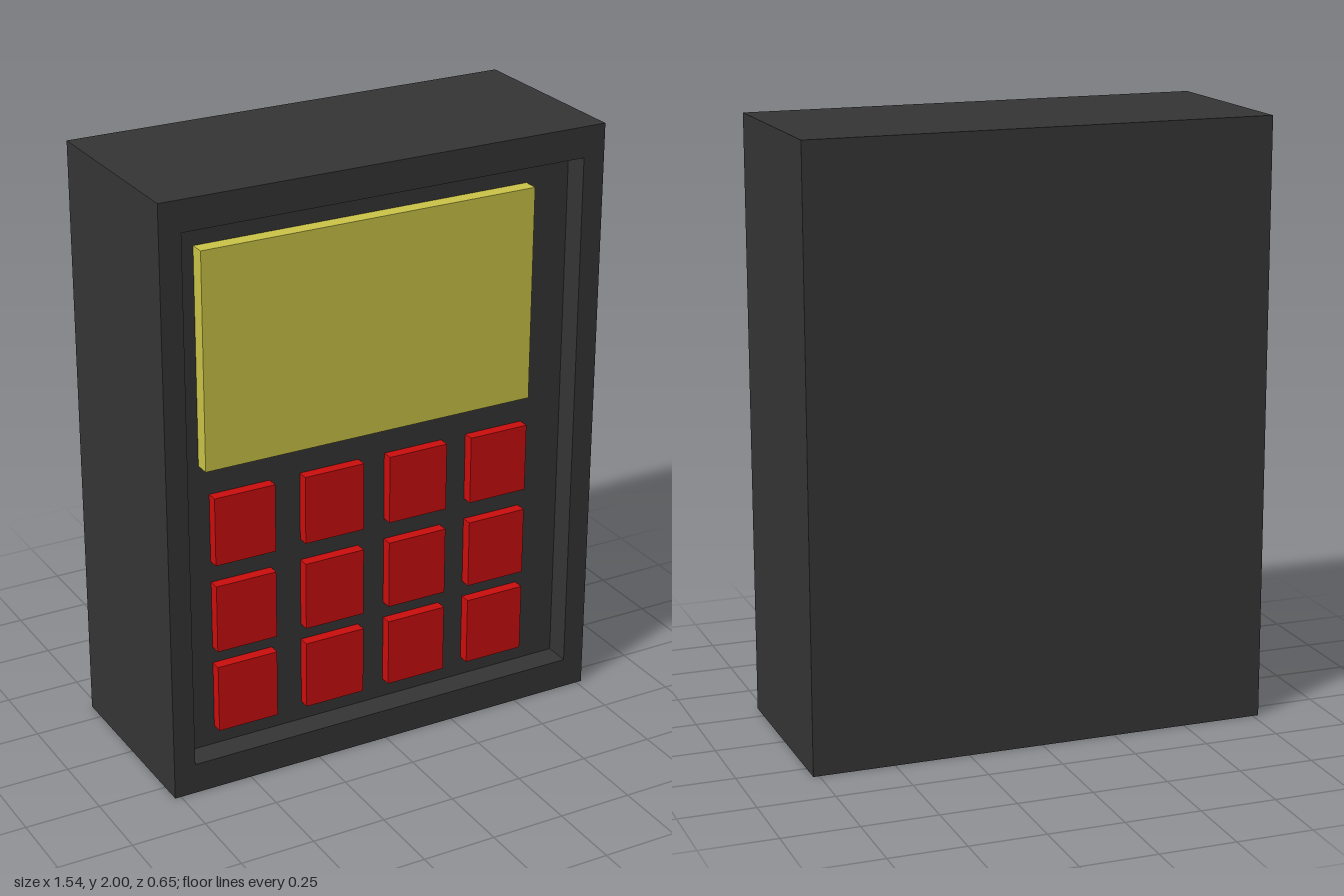
import * as THREE from 'three';

const material = (name, color) => new THREE.MeshStandardMaterial({ name, color });

// Closed shell through rectangular loops [left, right, bottom, top, z], capped at both ends
function loopShell(loops) {
  const rings = loops.map(([l, r, b, t, z]) => [[l, b, z], [r, b, z], [r, t, z], [l, t, z]]);
  const positions = [];
  const quad = (a, b, c, d) => positions.push(...a, ...b, ...c, ...a, ...c, ...d);
  for (let i = 0; i < rings.length - 1; i++) {
    const p = rings[i], q = rings[i + 1];
    for (let j = 0; j < 4; j++) {
      const k = (j + 1) % 4;
      quad(p[j], p[k], q[k], q[j]);
    }
  }
  const first = rings[0], last = rings[rings.length - 1];
  quad(first[3], first[2], first[1], first[0]);
  quad(last[0], last[1], last[2], last[3]);
  const geometry = new THREE.BufferGeometry();
  geometry.setAttribute('position', new THREE.Float32BufferAttribute(positions, 3));
  geometry.computeVertexNormals();
  return geometry;
}

export function createModel() {
  const model = new THREE.Group();
  model.name = 'keypadDevice';

  const casingGrey = material('casingGrey', 0x353535);
  const screenYellow = material('screenYellow', 0xccc548);
  const buttonRed = material('buttonRed', 0xcc0d0d);

  const floorZ = 0.238;

  // Casing: outer box with a shallow recess in the front
  const casing = new THREE.Mesh(loopShell([
    [-0.77, 0.77, 0, 2, -0.325],
    [-0.77, 0.77, 0, 2, 0.325],
    [-0.697, 0.695, 0.104, 1.898, 0.325],
    [-0.697, 0.695, 0.104, 1.898, floorZ],
  ]), casingGrey);
  casing.name = 'casing';
  model.add(casing);

  // Block standing on the recess floor
  const addBlock = (parent, name, mat, x, y, width, height, frontZ) => {
    const back = floorZ - 0.01;
    const mesh = new THREE.Mesh(new THREE.BoxGeometry(width, height, frontZ - back), mat);
    mesh.position.set(x, y, (frontZ + back) / 2);
    mesh.name = name;
    parent.add(mesh);
  };

  addBlock(model, 'screen', screenYellow, -0.039, 1.457, 1.16, 0.718, 0.288);

  // Buttons: three rows of four
  const buttons = new THREE.Group();
  buttons.name = 'buttons';
  [0.878, 0.573, 0.285].forEach((y, row) => {
    [-0.48, -0.164, 0.14, 0.441].forEach((x, column) => {
      addBlock(buttons, `buttonRow${row + 1}Column${column + 1}`, buttonRed, x, y, 0.21, 0.232, 0.275);
    });
  });
  model.add(buttons);

  return model;
}
